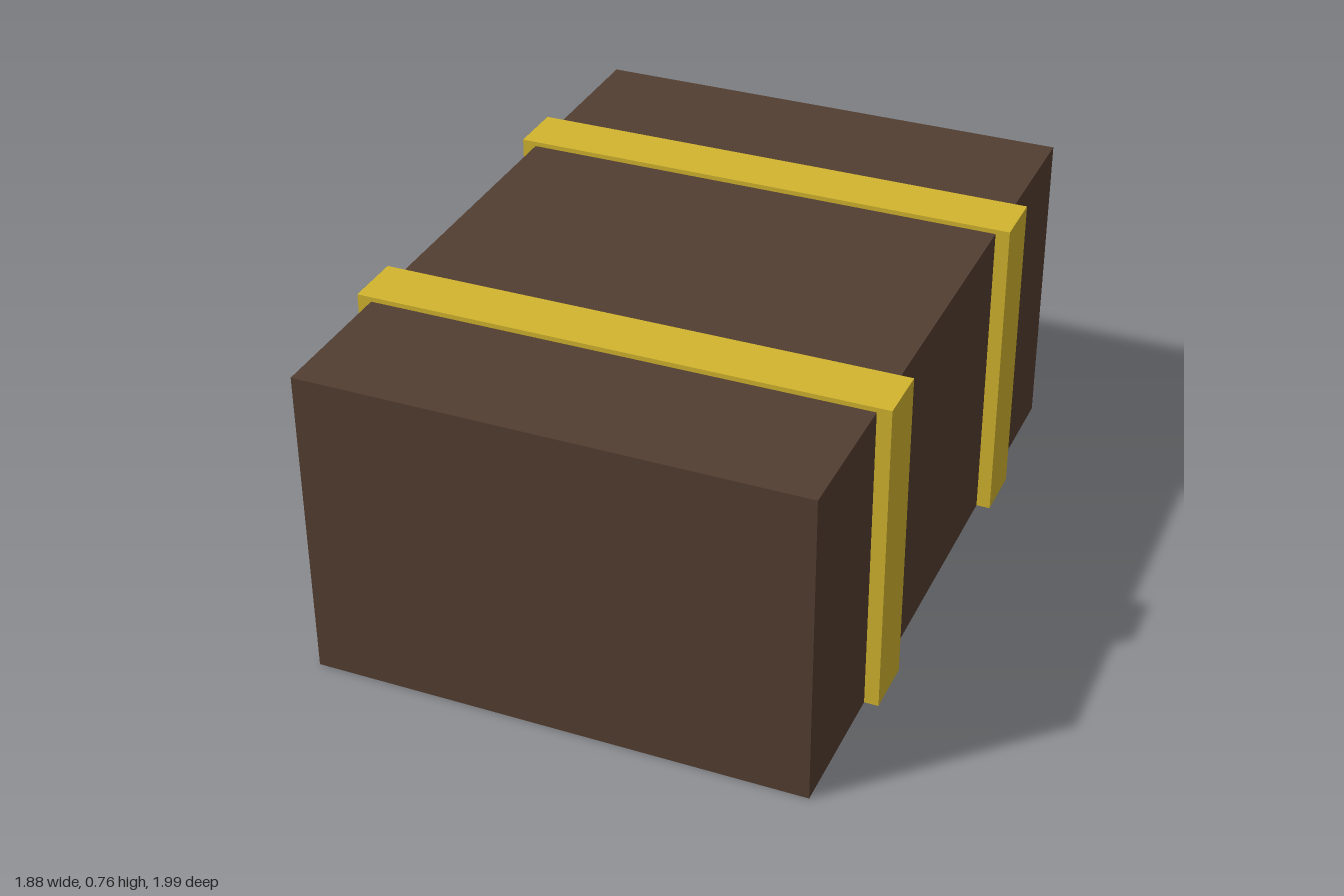
import * as THREE from 'three';

const WIDTH = 1.155, HEIGHT = 0.745, LENGTH = 1.625;
const STRAP_WIDTH = 0.136, STRAP_OUT = 0.033, STRAP_RISE = 0.011;

export function createModel() {
  const model = new THREE.Group();
  model.name = 'chest';

  const wood = new THREE.MeshStandardMaterial({ color: 0x533e31 });
  wood.name = 'dark brown wood';
  const brass = new THREE.MeshStandardMaterial({ color: 0xd2b42e });
  brass.name = 'golden brass';

  function addBox(parent, name, material, size, position) {
    const mesh = new THREE.Mesh(new THREE.BoxGeometry(...size), material);
    mesh.name = name;
    mesh.position.set(...position);
    parent.add(mesh);
  }

  // Chest body
  addBox(model, 'body', wood, [WIDTH, HEIGHT, LENGTH], [0, HEIGHT / 2, 0]);

  // Two straps, each running up one side, over the top and down the other
  for (const end of [-1, 1]) {
    const strap = new THREE.Group();
    strap.name = end < 0 ? 'backStrap' : 'frontStrap';
    strap.position.z = end * LENGTH / 4;
    addBox(strap, 'strapTop', brass,
      [WIDTH + 2 * STRAP_OUT, STRAP_RISE, STRAP_WIDTH], [0, HEIGHT + STRAP_RISE / 2, 0]);
    for (const side of [-1, 1]) {
      addBox(strap, 'strapSide', brass,
        [STRAP_OUT, HEIGHT, STRAP_WIDTH], [side * (WIDTH + STRAP_OUT) / 2, HEIGHT / 2, 0]);
    }
    model.add(strap);
  }

  // Latch on one long side
  addBox(model, 'latch', brass, [0.068, 0.165, 0.236], [-WIDTH / 2 - 0.034, 0.437, 0]);

  // The chest stands turned on the ground
  model.rotation.y = THREE.MathUtils.degToRad(-35);

  const root = new THREE.Group();
  root.name = 'treasureChest';
  root.add(model);
  return root;
}
